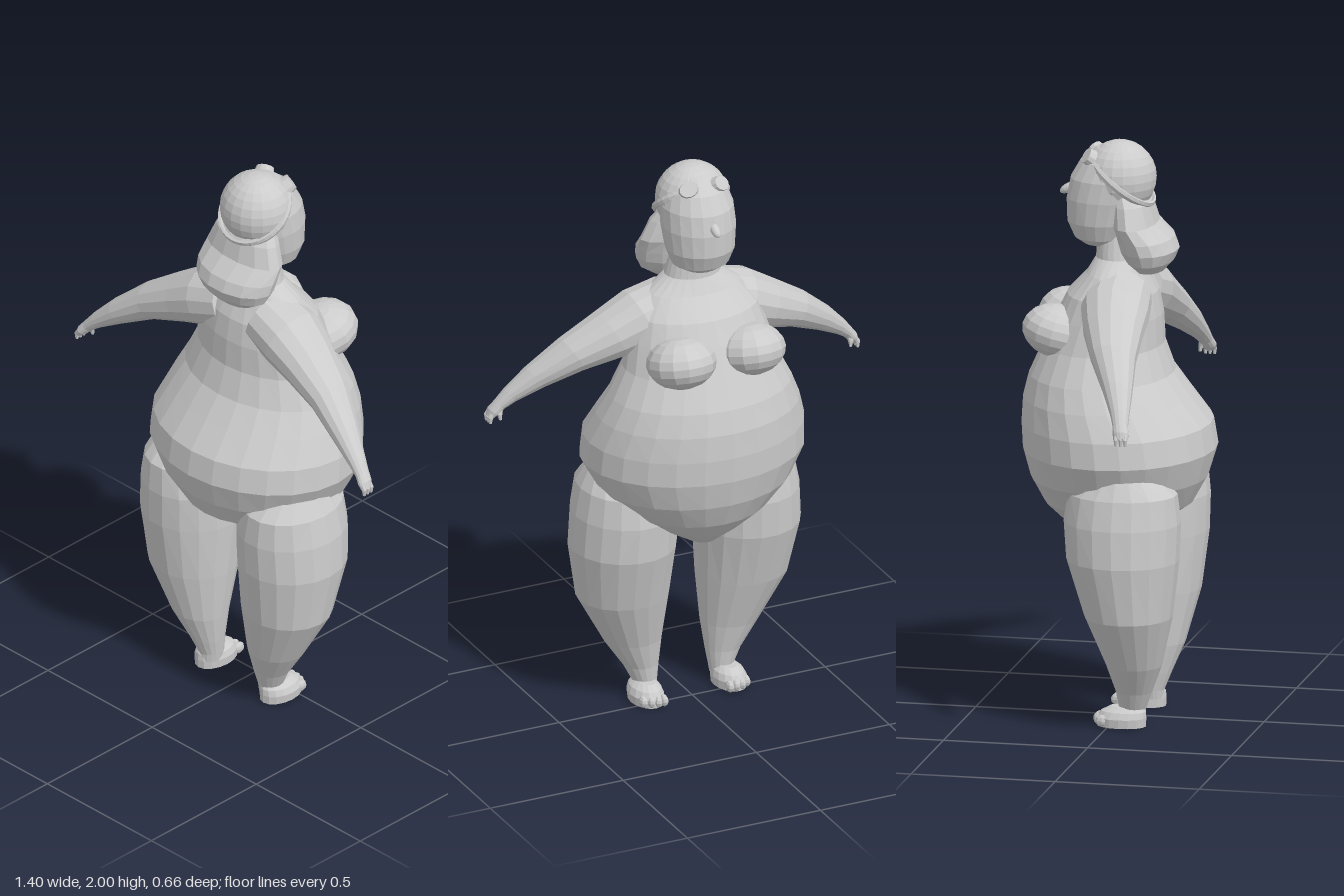
import * as THREE from 'three';

const material = new THREE.MeshStandardMaterial({ color: 0xcccccc, flatShading: true });
const V = (x, y, z) => new THREE.Vector3(x, y, z);

// Closed skin over elliptical rings { c: centre, a, b: half axes }; side -1 mirrors it in x.
function loft(name, rings, sides = 20, side = 1) {
  const pos = [], idx = [];
  for (const { c, a, b } of rings) {
    for (let i = 0; i < sides; i++) {
      const t = (i / sides) * Math.PI * 2;
      const p = c.clone().addScaledVector(a, Math.cos(t)).addScaledVector(b, Math.sin(t));
      pos.push(p.x * side, p.y, p.z);
    }
  }
  const last = rings.length - 1;
  for (const r of [rings[0], rings[last]]) pos.push(r.c.x * side, r.c.y, r.c.z);
  const r0 = rings[0];
  const along = rings[1].c.clone().sub(r0.c);
  const outward = r0.a.clone().cross(r0.b).dot(along) * side > 0;
  const tri = (p, q, r) => (outward ? idx.push(p, q, r) : idx.push(p, r, q));
  const end = rings.length * sides;
  for (let i = 0; i < sides; i++) {
    const j = (i + 1) % sides;
    for (let k = 0; k < last; k++) {
      const n = k * sides, m = n + sides;
      tri(n + i, n + j, m + j);
      tri(n + i, m + j, m + i);
    }
    tri(end, j, i);
    tri(end + 1, last * sides + i, last * sides + j);
  }
  const g = new THREE.BufferGeometry();
  g.setAttribute('position', new THREE.Float32BufferAttribute(pos, 3));
  g.setIndex(idx);
  g.computeVertexNormals();
  const mesh = new THREE.Mesh(g, material);
  mesh.name = name;
  return mesh;
}

// Horizontal ring from its extents.
const level = (y, x0, x1, z0, z1) => ({
  c: V((x0 + x1) / 2, y, (z0 + z1) / 2),
  a: V((x1 - x0) / 2, 0, 0),
  b: V(0, 0, (z1 - z0) / 2),
});
const centred = ([y, rx, z0, z1]) => level(y, -rx, rx, z0, z1);

// Rings square to a path of [x, y, z, thickness, depth].
function alongPath(path) {
  return path.map(([x, y, z, r, d], i) => {
    const p = path[Math.max(i - 1, 0)], n = path[Math.min(i + 1, path.length - 1)];
    const t = V(n[0] - p[0], n[1] - p[1], 0).normalize();
    return { c: V(x, y, z), a: V(-t.y * r, t.x * r, 0), b: V(0, 0, d) };
  });
}

function ball(name, x, y, z, rx, ry, rz, tilt = 0, w = 14, h = 10) {
  const mesh = new THREE.Mesh(new THREE.SphereGeometry(1, w, h), material);
  mesh.name = name;
  mesh.position.set(x, y, z);
  mesh.scale.set(rx, ry, rz);
  mesh.rotation.x = tilt;
  return mesh;
}

export function createModel() {
  const model = new THREE.Group();
  model.name = 'standingFigure';

  // Torso from crotch to neck: y, half width, front z, back z
  model.add(loft('torso', [
    [0.63, 0.06, -0.13, 0.05], [0.68, 0.15, -0.19, 0.15], [0.75, 0.26, -0.255, 0.25],
    [0.84, 0.345, -0.3, 0.3], [0.94, 0.395, -0.325, 0.33], [1.03, 0.39, -0.33, 0.315],
    [1.12, 0.36, -0.325, 0.245], [1.2, 0.325, -0.305, 0.185], [1.3, 0.275, -0.26, 0.15],
    [1.4, 0.25, -0.215, 0.145], [1.48, 0.225, -0.175, 0.13], [1.55, 0.17, -0.11, 0.095],
    [1.6, 0.1, -0.08, 0.08], [1.68, 0.08, -0.075, 0.07],
  ].map(centred), 24));

  // Head with the fuller jaw to the front
  model.add(loft('head', [
    [1.64, 0.06, -0.12, 0], [1.665, 0.1, -0.155, 0.03], [1.72, 0.12, -0.18, 0.06],
    [1.8, 0.128, -0.183, 0.09], [1.87, 0.125, -0.17, 0.11], [1.93, 0.105, -0.135, 0.1],
    [1.975, 0.06, -0.08, 0.06], [1.99, 0.02, -0.03, 0.03],
  ].map(centred)));
  model.add(ball('cap', 0, 1.872, 0, 0.128, 0.128, 0.125, 0, 20, 14));
  model.add(ball('nose', 0, 1.825, -0.178, 0.016, 0.016, 0.034, -0.5));

  // Hair gathered behind the neck
  model.add(loft('hair', [
    [1.83, 0.11, -0.02, 0.08], [1.79, 0.137, -0.02, 0.11], [1.72, 0.166, -0.015, 0.13],
    [1.67, 0.166, -0.005, 0.185], [1.63, 0.16, 0.005, 0.202], [1.59, 0.14, 0.03, 0.185],
    [1.557, 0.09, 0.06, 0.155],
  ].map(centred), 14));

  // Goggles pushed up on the forehead
  const goggles = new THREE.Group();
  goggles.name = 'goggles';
  goggles.position.set(0, 1.866, 0.01);
  goggles.rotation.x = -0.9;
  const strap = new THREE.Mesh(new THREE.TorusGeometry(0.13, 0.008, 6, 32), material);
  strap.name = 'goggleStrap';
  strap.scale.z = 1.6;
  goggles.add(strap);
  for (const side of [-1, 1]) {
    const lens = new THREE.Mesh(new THREE.CylinderGeometry(0.026, 0.032, 0.035, 12), material);
    lens.name = 'goggleLens';
    lens.position.set(side * 0.056, 0.128, 0);
    lens.rotation.z = -side * 0.4;
    lens.scale.x = 1.2;
    goggles.add(lens);
  }
  model.add(goggles);

  for (const s of [-1, 1]) {
    const tag = s > 0 ? 'left' : 'right';

    // Breast
    model.add(ball(tag + 'Breast', s * 0.13, 1.355, -0.185, 0.12, 0.09, 0.125, 0.25));

    // Arm, tapering down and back to the wrist and palm
    model.add(loft(tag + 'Arm', alongPath([
      [0.08, 1.48, 0.02, 0.1, 0.11], [0.19, 1.445, 0.025, 0.105, 0.12],
      [0.29, 1.4, 0.04, 0.088, 0.105], [0.42, 1.338, 0.07, 0.066, 0.08],
      [0.54, 1.258, 0.112, 0.046, 0.053], [0.62, 1.196, 0.138, 0.029, 0.034],
      [0.655, 1.163, 0.148, 0.021, 0.027], [0.675, 1.14, 0.155, 0.019, 0.028],
      [0.687, 1.122, 0.158, 0.012, 0.022],
    ]), 14, s));

    // Fingers and thumb
    for (let i = 0; i < 3; i++) {
      const z = 0.141 + i * 0.016;
      model.add(loft(tag + 'Finger', alongPath([
        [0.675, 1.145, z, 0.01, 0.008], [0.69, 1.122, z, 0.01, 0.008], [0.69, 1.102, z, 0.005, 0.005],
      ]), 8, s));
    }
    model.add(loft(tag + 'Thumb', alongPath([
      [0.655, 1.16, 0.138, 0.012, 0.01], [0.66, 1.135, 0.132, 0.01, 0.009], [0.658, 1.115, 0.13, 0.005, 0.005],
    ]), 8, s));

    // Leg: y, inner x, outer x, front z, back z
    model.add(loft(tag + 'Leg', [
      [0.89, 0.12, 0.36, -0.06, 0.19], [0.83, 0.08, 0.39, -0.125, 0.25],
      [0.73, 0.048, 0.41, -0.14, 0.26], [0.6, 0.048, 0.418, -0.13, 0.255],
      [0.4, 0.062, 0.386, -0.07, 0.23], [0.22, 0.08, 0.285, -0.005, 0.185],
      [0.12, 0.092, 0.217, 0.022, 0.145], [0.06, 0.1, 0.187, 0.03, 0.122],
      [0.03, 0.105, 0.187, 0.03, 0.12],
    ].map((r) => level(...r)), 18, s));

    // Foot with toes
    model.add(loft(tag + 'Foot', [
      [0, 0.1, 0.212, -0.045, 0.125], [0.03, 0.098, 0.215, -0.045, 0.127],
      [0.052, 0.105, 0.205, -0.03, 0.125], [0.068, 0.12, 0.185, 0, 0.115],
    ].map((r) => level(...r)), 16, s));
    for (let i = 0; i < 4; i++) {
      const z = -0.036 + 0.006 * i * (i - 1) / 2;
      model.add(ball(tag + 'Toe', s * (0.124 + i * 0.023), 0.021, z, 0.014, 0.021, 0.024, 0, 8, 6));
    }
  }
  return model;
}
